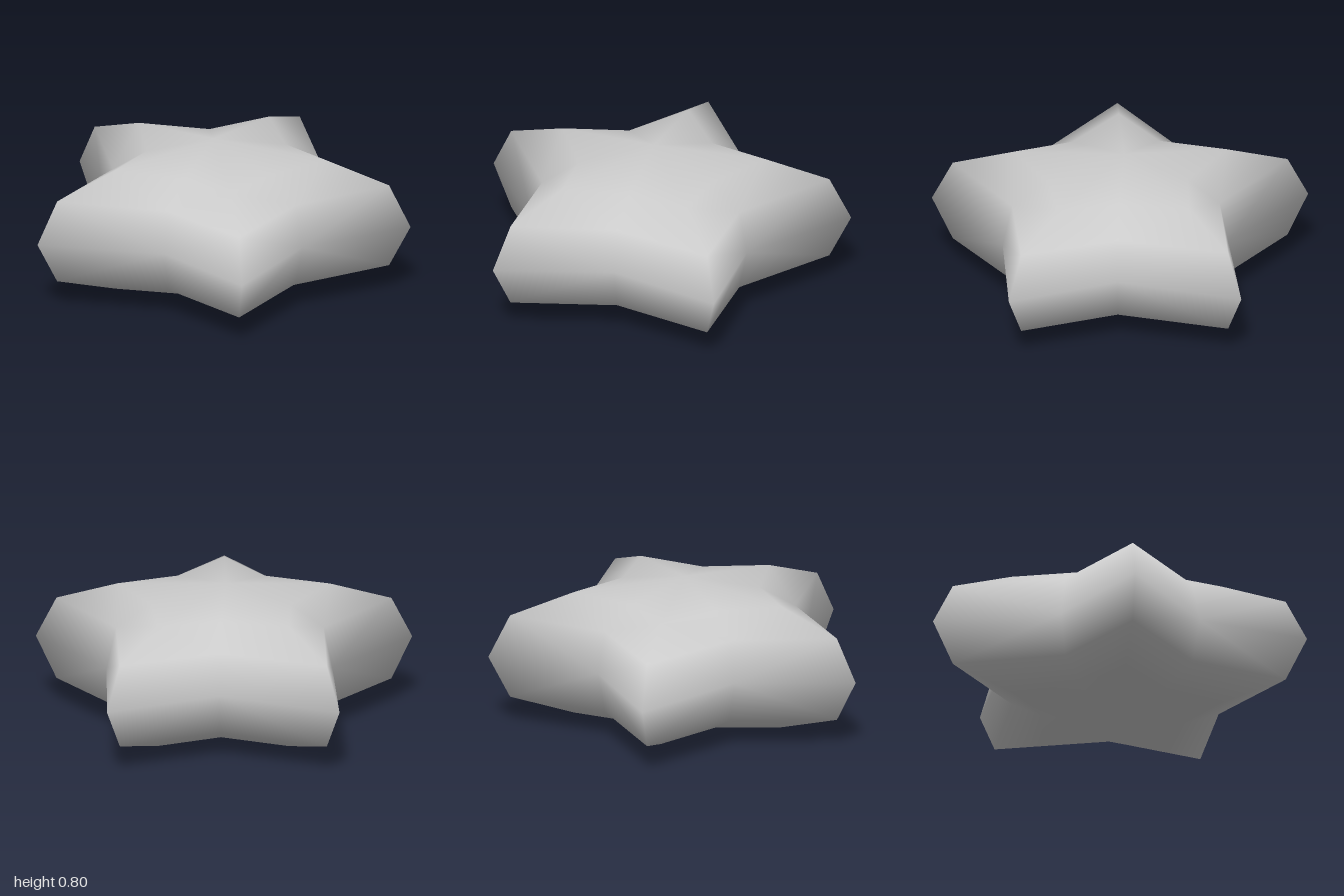
import * as THREE from 'three';

// Each ring: tip height, tip scale, notch height, notch scale (top to bottom)
const RINGS = [
  [0.725, 0.565, 0.713, 0.62],
  [0.605, 0.89, 0.6, 0.92],
  [0.376, 1, 0.376, 1],
  [0.15, 0.89, 0.153, 0.92],
  [0.05, 0.565, 0.06, 0.62],
];
const POINTS = 5;
const SIDES = POINTS * 2;
const TIP_RADIUS = 1.05;
const NOTCH_RADIUS = 0.63;

function starGeometry() {
  const positions = [0.08, 0.8, 0];
  const index = [];

  // Star-shaped cross-sections: even corners are notches, odd ones are tips
  for (const [tipY, tipScale, notchY, notchScale] of RINGS) {
    for (let j = 0; j < SIDES; j++) {
      const tip = j % 2 === 1;
      const a = (j * Math.PI) / POINTS;
      const r = tip ? TIP_RADIUS * tipScale : NOTCH_RADIUS * notchScale;
      const cx = tip ? 0.097 : 0.097 + 0.038 * notchScale;
      positions.push(cx + r * Math.cos(a), tip ? tipY : notchY, r * Math.sin(a));
    }
  }
  const bottom = positions.length / 3;
  positions.push(0.08, 0.003, 0);

  const at = (ring, j) => 1 + ring * SIDES + (j % SIDES);
  const last = RINGS.length - 1;
  for (let j = 0; j < SIDES; j++) {
    // Top and bottom fans
    index.push(0, at(0, j + 1), at(0, j));
    index.push(bottom, at(last, j), at(last, j + 1));
    // Side bands, with diagonals mirrored about every arm
    for (let i = 0; i < last; i++) {
      const a = at(i, j), b = at(i, j + 1), c = at(i + 1, j), d = at(i + 1, j + 1);
      const upper = i < last / 2;
      if ((j % 2 === 1) === upper) index.push(a, b, d, a, d, c);
      else index.push(a, b, c, b, d, c);
    }
  }

  const geometry = new THREE.BufferGeometry();
  geometry.setAttribute('position', new THREE.Float32BufferAttribute(positions, 3));
  geometry.setIndex(index);
  geometry.computeVertexNormals();
  return geometry;
}

export function createModel() {
  const group = new THREE.Group();
  group.name = 'puffyStar';
  const body = new THREE.Mesh(
    starGeometry(),
    new THREE.MeshStandardMaterial({ color: 0xcccccc })
  );
  body.name = 'starBody';
  group.add(body);
  return group;
}
